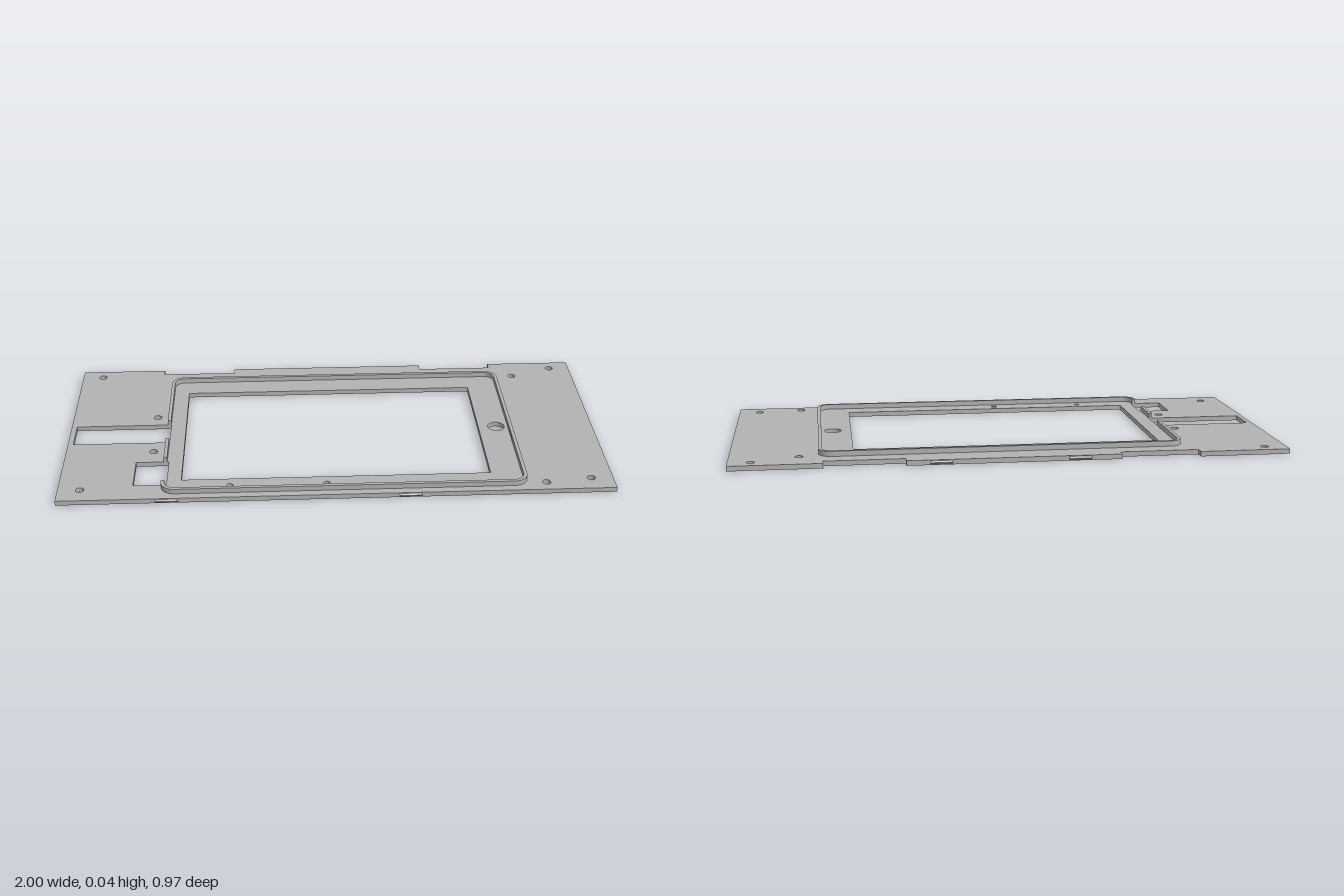
import * as THREE from 'three';
import { toCreasedNormals } from 'three/addons/utils/BufferGeometryUtils.js';

const PLATE = 0.018, RIM_TOP = 0.037, EDGE = 0.481;

// Plan shapes use (x, -z), so extrusion stands up along y after the turn
function slab(shape, y0, y1) {
  const g = new THREE.ExtrudeGeometry(shape, { depth: y1 - y0, bevelEnabled: false, curveSegments: 10 });
  g.rotateX(-Math.PI / 2).translate(0, y0, 0);
  return toCreasedNormals(g, 0.6);
}

const polygon = (points) => new THREE.Shape(points.map(([x, z]) => new THREE.Vector2(x, -z)));
const rect = (x0, x1, z0, z1) => polygon([[x0, z0], [x0, z1], [x1, z1], [x1, z0]]);

function circle(x, z, r) {
  const path = new THREE.Path();
  path.absarc(x, -z, r, 0, Math.PI * 2, true);
  return path;
}

// Rounded run around the screen, open on the left between two cutouts
function openLoop(inset, r, zStart, zEnd) {
  const x0 = -0.632 + inset, x1 = 0.687 - inset, z0 = -0.385 + inset, z1 = 0.452 - inset;
  const points = [[x0, zStart]];
  const corners = [[x0 + r, z1 - r, Math.PI], [x1 - r, z1 - r, Math.PI / 2],
    [x1 - r, z0 + r, 0], [x0 + r, z0 + r, -Math.PI / 2]];
  for (const [cx, cz, start] of corners) {
    for (let i = 0; i <= 8; i++) {
      const a = start - (i / 8) * Math.PI / 2;
      points.push([cx + r * Math.cos(a), cz + r * Math.sin(a)]);
    }
  }
  points.push([x0, zEnd]);
  return points;
}

export function createModel() {
  const model = new THREE.Group();
  model.name = 'mountingPanel';
  const grey = new THREE.MeshStandardMaterial({ color: 0xb3b3b3 });
  grey.name = 'panelGrey';
  const add = (name, geometry) => {
    const mesh = new THREE.Mesh(geometry, grey);
    mesh.name = name;
    model.add(mesh);
    return mesh;
  };

  // Base plate with two notches in the back edge
  const plate = polygon([
    [-1, EDGE], [1, EDGE], [1, -EDGE], [0.67, -EDGE], [0.67, -0.449], [0.383, -0.449], [0.383, -EDGE],
    [-0.383, -EDGE], [-0.383, -0.449], [-0.67, -0.449], [-0.67, -EDGE], [-1, -EDGE],
  ]);
  plate.holes.push(
    rect(-0.561, 0.561, -0.283, 0.361), // screen window
    rect(-0.98, -0.619, -0.035, 0.096), // long slot
    rect(-0.733, -0.613, 0.235, 0.39), // small slot
    circle(0.63, 0.032, 0.032), // button hole
  );
  const screwHoles = [[-0.92, -0.433], [-0.92, 0.412], [0.92, -0.433], [0.92, 0.412],
    [0.754, -0.372], [0.754, 0.433], [-0.674, -0.094], [-0.674, 0.16]];
  for (const [x, z] of screwHoles) plate.holes.push(circle(x, z, 0.015));
  for (const x of [-0.385, -0.037]) plate.holes.push(circle(x, 0.404, 0.011));
  add('plate', slab(plate, 0, PLATE));

  // Raised rim, interrupted by the two slots
  const outer = openLoop(0, 0.05, 0.39, -0.035);
  const inner = openLoop(0.013, 0.037, 0.39, -0.035);
  add('rim', slab(polygon([...outer, ...inner.reverse()]), PLATE, RIM_TOP));
  add('rimBridge', slab(rect(-0.632, -0.619, 0.096, 0.235), PLATE, RIM_TOP));

  // Small ridged snap catches on the front and back edges
  const ridge = new THREE.Shape([[0, 0.003], [0.005, 0.009], [0, 0.015]].map(([a, b]) => new THREE.Vector2(a, b)));
  const catchGeometry = new THREE.ExtrudeGeometry(ridge, { depth: 0.08, bevelEnabled: false });
  catchGeometry.translate(0, 0, -0.04).rotateY(-Math.PI / 2);
  for (const [x, side] of [[-0.607, 1], [0.26, 1], [-0.233, -1], [0.26, -1]]) {
    const snap = add(side > 0 ? 'frontCatch' : 'backCatch', catchGeometry);
    snap.position.set(x, 0, side * EDGE);
    if (side < 0) snap.rotation.y = Math.PI;
  }
  return model;
}
